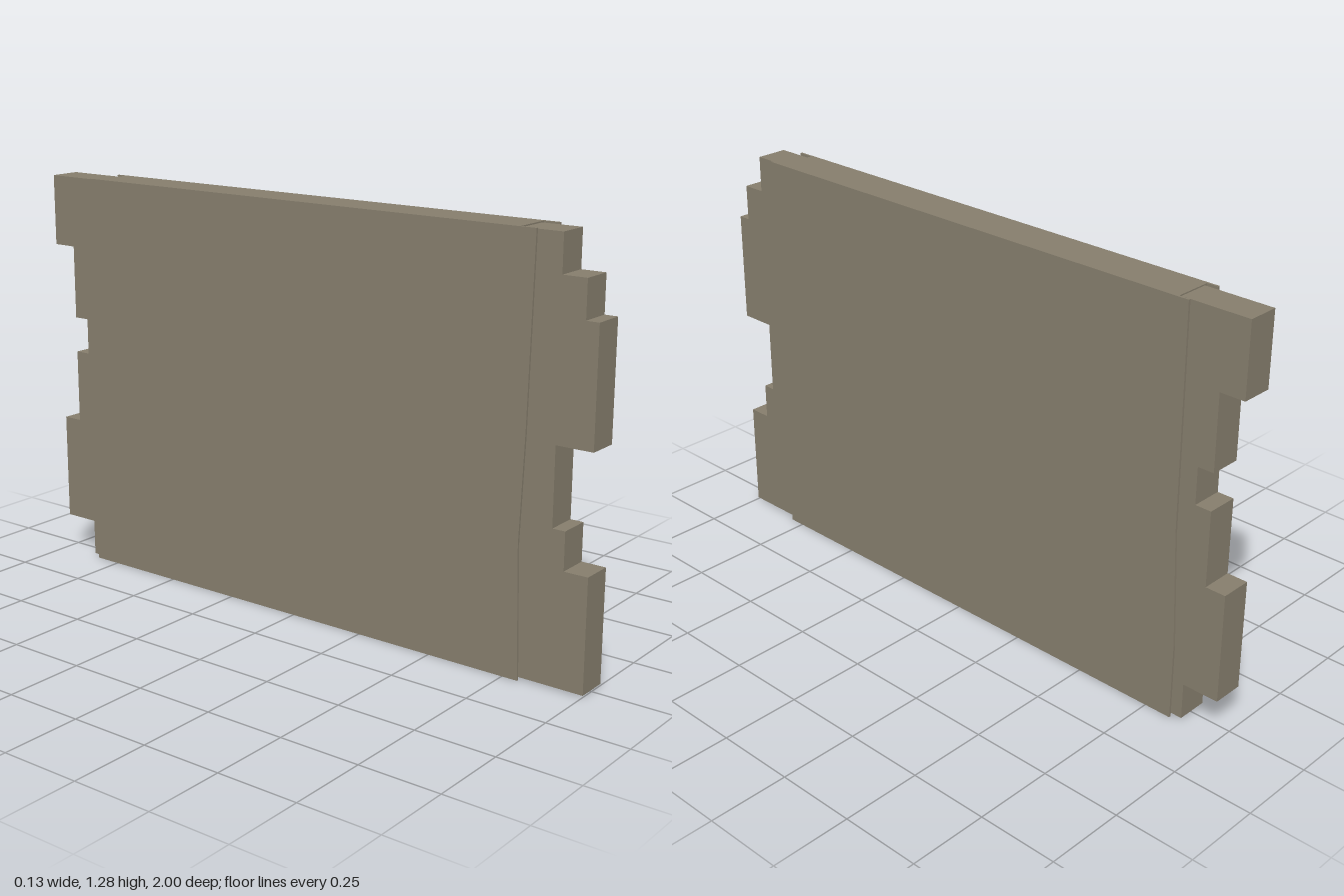
import * as THREE from 'three';

const material = new THREE.MeshStandardMaterial({ color: 0x857d6c, flatShading: true });

// Slab cut from a side outline of [z, y] points, spanning x0..x1
function slab(name, outline, x0, x1) {
  const shape = new THREE.Shape(outline.map(([z, y]) => new THREE.Vector2(-z, y)));
  const geometry = new THREE.ExtrudeGeometry(shape, { depth: x1 - x0, bevelEnabled: false });
  geometry.rotateY(Math.PI / 2); // outline -z axis -> world z, depth -> x
  geometry.translate(x0, 0, 0);
  const mesh = new THREE.Mesh(geometry, material);
  mesh.name = name;
  return mesh;
}

// Stepped edge from [z, yBottom, yTop] courses
const steps = (courses) => courses.flatMap(([z, y0, y1]) => [[z, y0], [z, y1]]);

export function createModel() {
  const group = new THREE.Group();
  group.name = 'wallSegment';
  const top = 1.28;

  // Masonry core with toothed ends
  const frontTeeth = steps([
    [1, 0.005, 0.35], [0.925, 0.35, 0.465], [0.885, 0.465, 0.70],
    [1, 0.70, 1.05], [0.96, 1.05, 1.163], [0.885, 1.163, 1.276],
  ]);
  const backTeeth = steps([
    [-0.868, 0.005, 0.12], [-0.985, 0.12, 0.465], [-0.92, 0.465, 0.70],
    [-0.868, 0.70, 0.815], [-0.92, 0.815, 1.05], [-1, 1.05, 1.276],
  ]);
  group.add(slab('brickCore', [...frontTeeth, ...backTeeth.reverse()], -0.05, 0.05));

  // Full-width wall body
  const frontEdge = [[0.80, 0], [0.788, 0.4], [0.80, 0.72], [0.812, top]];
  const backEdge = [[-0.817, top], [-0.82, 0.6], [-0.837, 0.24], [-0.837, 0]];
  const inset = (edge, d) => edge.map(([z, y]) => [z + d, y]);
  group.add(slab('wallBody', [...inset(frontEdge, -0.05), ...inset(backEdge, 0.035)], -0.058, 0.058));

  // Plaster skins that overhang the body with a slim gap beside the core
  for (const [name, x0] of [['leftPlaster', 0.058], ['rightPlaster', -0.065]]) {
    group.add(slab(name, [...frontEdge, ...backEdge], x0, x0 + 0.007));
  }
  return group;
}
